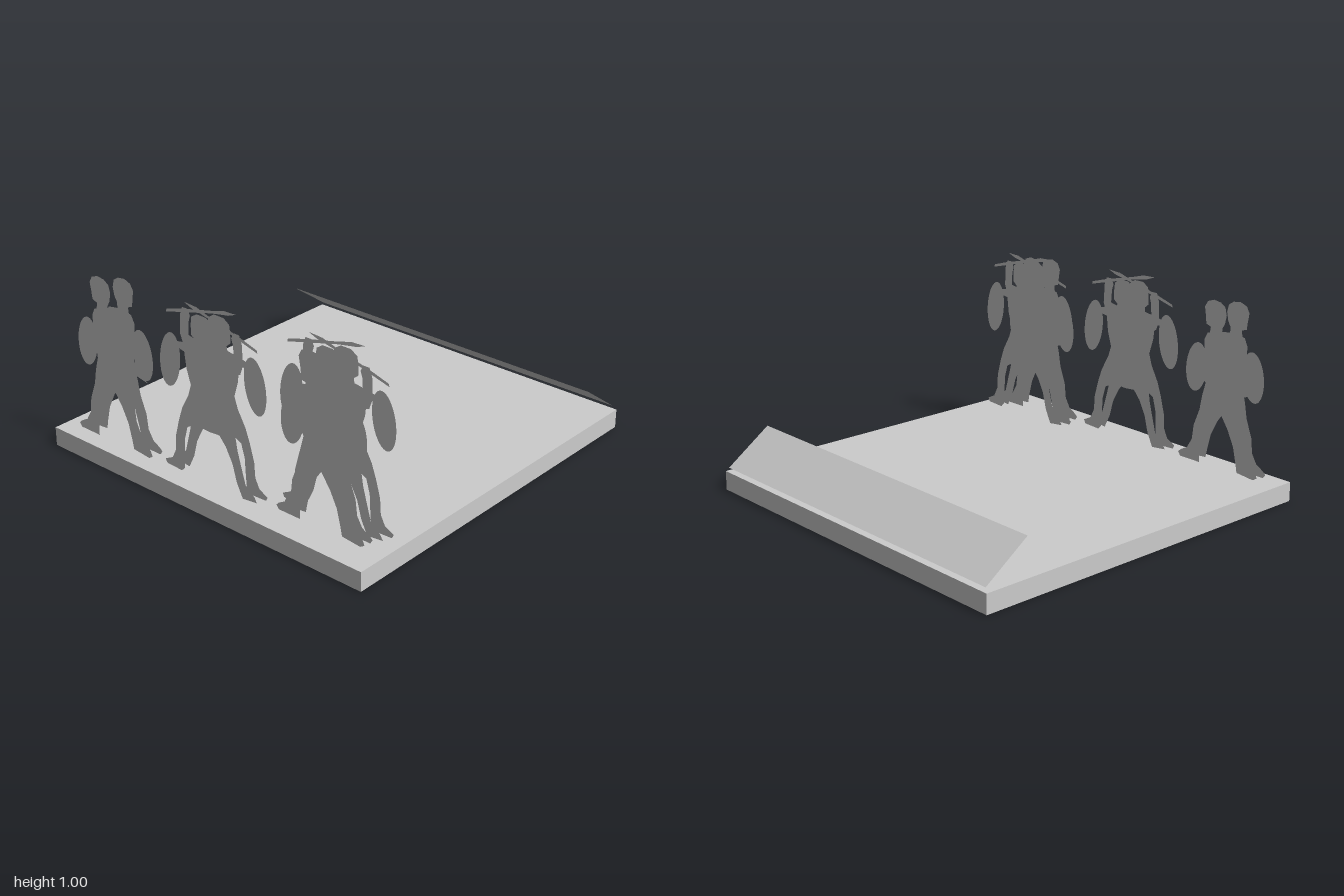
import * as THREE from 'three';

const stone = new THREE.MeshStandardMaterial({ color: 0xcccccc, side: THREE.DoubleSide });
stone.name = 'paleGrey';

const toShape = (pts) => new THREE.Shape(pts.map(([x, y]) => new THREE.Vector2(x, y)));

function ellipse(x, y, rx, ry, tilt = 0) {
  const s = new THREE.Shape();
  s.absellipse(x, y, rx, ry, 0, Math.PI * 2, false, tilt);
  return s;
}

// Walking warrior: shield on -x, short blades held low on +x
function walkerParts() {
  const body = toShape([
    [0, 0.305], [-0.04, 0.26], [-0.085, 0.19], [-0.11, 0.1], [-0.12, 0.04], [-0.12, 0],
    [-0.25, 0], [-0.265, 0.02], [-0.25, 0.035], [-0.205, 0.06], [-0.175, 0.11], [-0.165, 0.19],
    [-0.13, 0.28], [-0.115, 0.36], [-0.095, 0.43], [-0.11, 0.55], [-0.115, 0.65], [-0.095, 0.69],
    [-0.06, 0.7], [0, 0.7], [0.06, 0.69], [0.095, 0.65], [0.12, 0.57], [0.16, 0.5],
    [0.2, 0.45], [0.265, 0.46], [0.215, 0.435], [0.255, 0.405], [0.18, 0.42], [0.125, 0.4],
    [0.13, 0.33], [0.15, 0.25], [0.16, 0.17], [0.19, 0.1], [0.25, 0.04], [0.26, 0.015],
    [0.235, 0], [0.13, 0.01], [0.12, 0.06], [0.1, 0.14], [0.06, 0.22],
  ]);
  // gap between arm and waist
  body.holes.push(new THREE.Path([[0.075, 0.46], [0.085, 0.54], [0.1, 0.5], [0.105, 0.42]]
    .map(([x, y]) => new THREE.Vector2(x, y))));
  const head = toShape([
    [-0.08, 0.69], [-0.075, 0.725], [-0.105, 0.735], [-0.11, 0.775], [-0.118, 0.82], [-0.1, 0.852],
    [-0.06, 0.866], [-0.015, 0.86], [0.015, 0.84], [0.025, 0.8], [0.015, 0.755], [0, 0.73], [0, 0.69],
  ]);
  return { body, head, shield: ellipse(-0.16, 0.5, 0.068, 0.13, -0.12) };
}

// Spear thrower: shield on -x, arm raised on +x
function throwerParts() {
  const body = toShape([
    [0, 0.275], [-0.09, 0.28], [-0.15, 0.25], [-0.17, 0.18], [-0.175, 0.08], [-0.18, 0.02], [-0.2, 0],
    [-0.3, 0.005], [-0.31, 0.025], [-0.26, 0.05], [-0.235, 0.1], [-0.23, 0.18], [-0.205, 0.27],
    [-0.18, 0.34], [-0.135, 0.42], [-0.115, 0.48], [-0.14, 0.56], [-0.15, 0.64], [-0.21, 0.65],
    [-0.19, 0.68], [-0.13, 0.69], [-0.06, 0.7], [0.06, 0.695], [0.12, 0.69], [0.17, 0.7],
    [0.165, 0.77], [0.155, 0.8], [0.17, 0.83], [0.205, 0.83], [0.22, 0.79], [0.225, 0.69],
    [0.205, 0.635], [0.14, 0.615], [0.11, 0.56], [0.09, 0.49], [0.12, 0.42], [0.16, 0.33],
    [0.175, 0.24], [0.2, 0.15], [0.22, 0.08], [0.275, 0.035], [0.29, 0.01], [0.2, 0],
    [0.165, 0.07], [0.14, 0.16], [0.1, 0.235], [0.06, 0.28],
  ]);
  const head = toShape([
    [-0.08, 0.69], [-0.075, 0.72], [-0.1, 0.74], [-0.1, 0.79], [-0.095, 0.83], [-0.06, 0.853],
    [0, 0.853], [0.035, 0.83], [0.05, 0.78], [0.045, 0.72], [0.04, 0.69],
  ]);
  const spear = toShape([
    [0.315, 0.775], [0.31, 0.79], [0.2, 0.822], [0.02, 0.865], [-0.06, 0.888], [-0.14, 0.892],
    [-0.09, 0.873], [-0.03, 0.862], [0.02, 0.852], [0.2, 0.805],
  ]);
  return { body, head, spear, shield: ellipse(-0.247, 0.57, 0.066, 0.142, -0.14) };
}

function cutout(name, parts) {
  const g = new THREE.Group();
  g.name = name;
  for (const [part, shape] of Object.entries(parts)) {
    const m = new THREE.Mesh(new THREE.ShapeGeometry(shape, 20), stone);
    m.name = part;
    g.add(m);
  }
  return g;
}

// Reverse x of every point so the mirrored cutout keeps a normal transform
function mirrored(parts) {
  const out = {};
  const flip = (pts) => pts.map((p) => new THREE.Vector2(-p.x, p.y));
  for (const [k, s] of Object.entries(parts)) {
    const { shape, holes } = s.extractPoints(20);
    out[k] = new THREE.Shape(flip(shape));
    out[k].holes = holes.map((h) => new THREE.Path(flip(h)));
  }
  return out;
}

export function createModel() {
  const model = new THREE.Group();
  const walker = walkerParts();
  const thrower = throwerParts();

  // Square base slab
  const base = new THREE.Mesh(new THREE.BoxGeometry(2, 0.1, 2), stone);
  base.name = 'baseSlab';
  base.position.y = 0.05;
  model.add(base);

  // Sloping panel along the back edge
  const rise = 0.17, run = 0.24;
  const panel = new THREE.Mesh(new THREE.PlaneGeometry(1.965, Math.hypot(rise, run)), stone);
  panel.name = 'slopingPanel';
  panel.rotation.set(-Math.PI / 2 - Math.atan2(rise, run), 0, 0);
  panel.position.set(0, 0.205, -0.87);
  model.add(panel);

  // Standing cutouts, each pair being a figure and its mirror image
  const pairs = [
    ['walker', walker, -0.64, 0.92, 0.86],
    ['thrower', thrower, 0, 0.9, 0.85],
    ['walker', walker, 0.64, 0.86, 0.81],
    ['thrower', thrower, 0.64, 0.77, 0.72],
  ];
  for (const [name, parts, x, zFront, zBack] of pairs) {
    const front = cutout(name, parts);
    front.position.set(x, 0.11, zFront);
    const back = cutout(name + 'Mirrored', mirrored(parts));
    back.position.set(x, 0.11, zBack);
    model.add(front, back);
  }

  // Fallen cutouts lying on the slab, heads toward +x
  const flat = new THREE.Matrix4().makeBasis(
    new THREE.Vector3(0, 0, -1), new THREE.Vector3(1, 0, 0), new THREE.Vector3(0, -1, 0));
  for (const [name, parts, x, z] of [
    ['fallenWalker', walker, 0.055, -0.445],
    ['fallenThrower', thrower, -0.885, -0.35],
  ]) {
    const g = cutout(name, parts);
    g.quaternion.setFromRotationMatrix(flat);
    g.position.set(x, 0.103, z);
    model.add(g);
  }
  return model;
}
